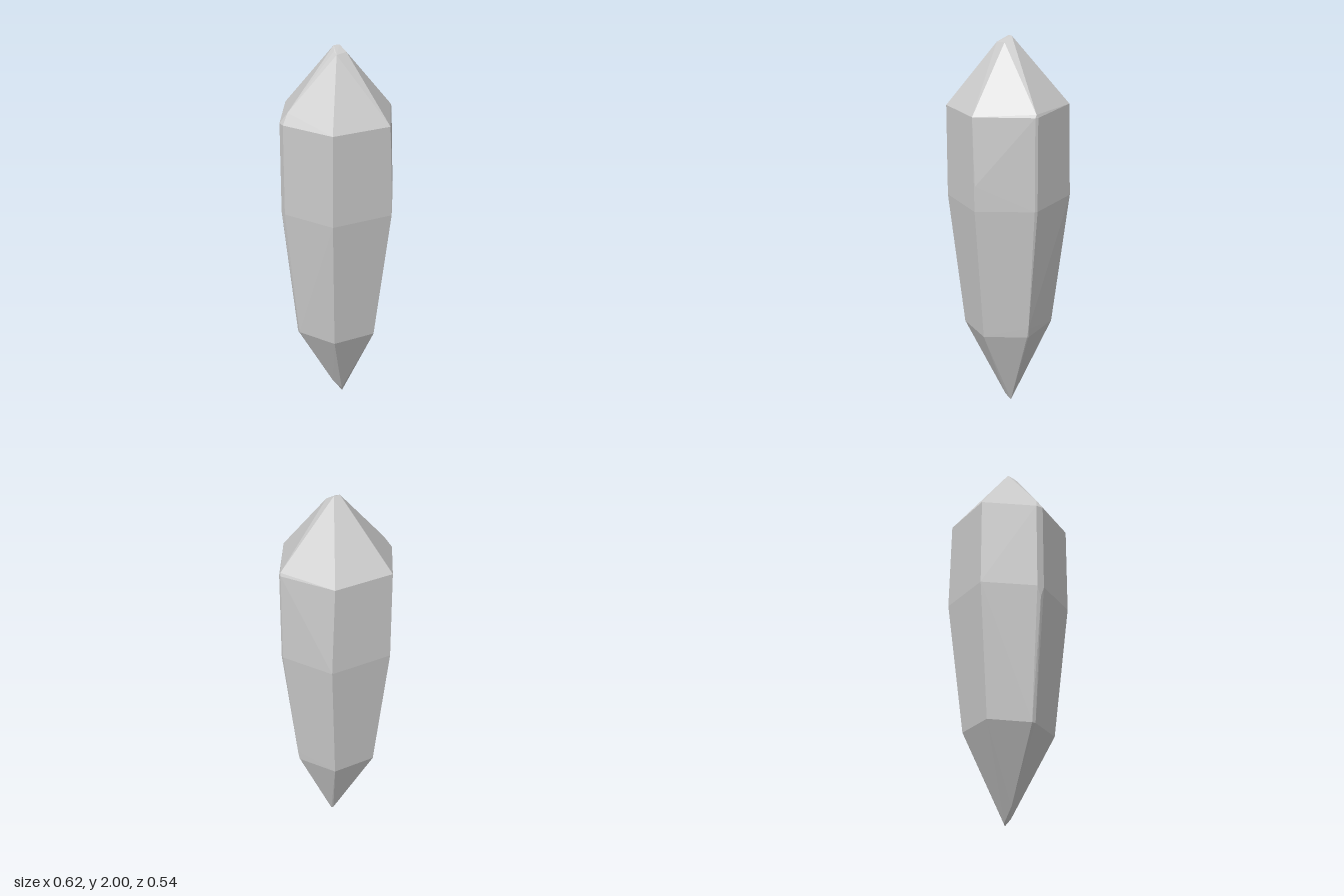
import * as THREE from 'three';
import { ConvexGeometry } from 'three/addons/geometries/ConvexGeometry.js';

// A ring of six corners: left, right, then front and back pairs.
function ring({ y, left, right, cornerLeft, cornerRight, front, back, bevel }) {
  const points = [];
  // Side corners are slightly blunted
  for (const [x, b] of [[left, bevel], [right, bevel * 0.4]]) {
    for (const s of [-1, 1]) points.push(new THREE.Vector3(x, y, s * b));
  }
  for (const x of [cornerLeft, cornerRight]) {
    points.push(new THREE.Vector3(x, y, front), new THREE.Vector3(x, y + 0.015, back));
  }
  return points;
}

export function createModel() {
  const group = new THREE.Group();
  group.name = 'crystal';

  const points = [
    // Lower waist, widest section and upper shoulder
    ...ring({ y: 0.455, left: -0.235, right: 0.222, cornerLeft: -0.122, cornerRight: 0.112, front: 0.202, back: -0.2, bevel: 0.01 }),
    ...ring({ y: 1.17, left: -0.31, right: 0.305, cornerLeft: -0.165, cornerRight: 0.166, front: 0.272, back: -0.27, bevel: 0.02 }),
    ...ring({ y: 1.645, left: -0.31, right: 0.303, cornerLeft: -0.165, cornerRight: 0.148, front: 0.272, back: -0.268, bevel: 0.02 }),
  ];

  // Worn shoulder, waist and tip corners
  const worn = [
    [-0.31, 1.11, 0], [0.232, 0.51, 0], [0.169, 1.3, 0.27],
    [-0.277, 1.7, 0.005], [0.3, 1.66, 0],
    [-0.018, 2, -0.01], [0.014, 2, -0.01],
    [0.028, 1.972, 0.037], [-0.032, 1.968, 0.05], [-0.032, 1.98, 0.02],
    [0.027, 0, 0], [0.02, 0.01, -0.01], [-0.033, 0.085, 0], [0.012, 0.035, 0.025],
  ];
  points.push(...worn.map((p) => new THREE.Vector3(...p)));

  // The shard is a convex hull with flat facets
  const shard = new THREE.Mesh(
    new ConvexGeometry(points),
    new THREE.MeshStandardMaterial({ color: 0xcccccc, flatShading: true })
  );
  shard.name = 'shard';
  group.add(shard);
  return group;
}
